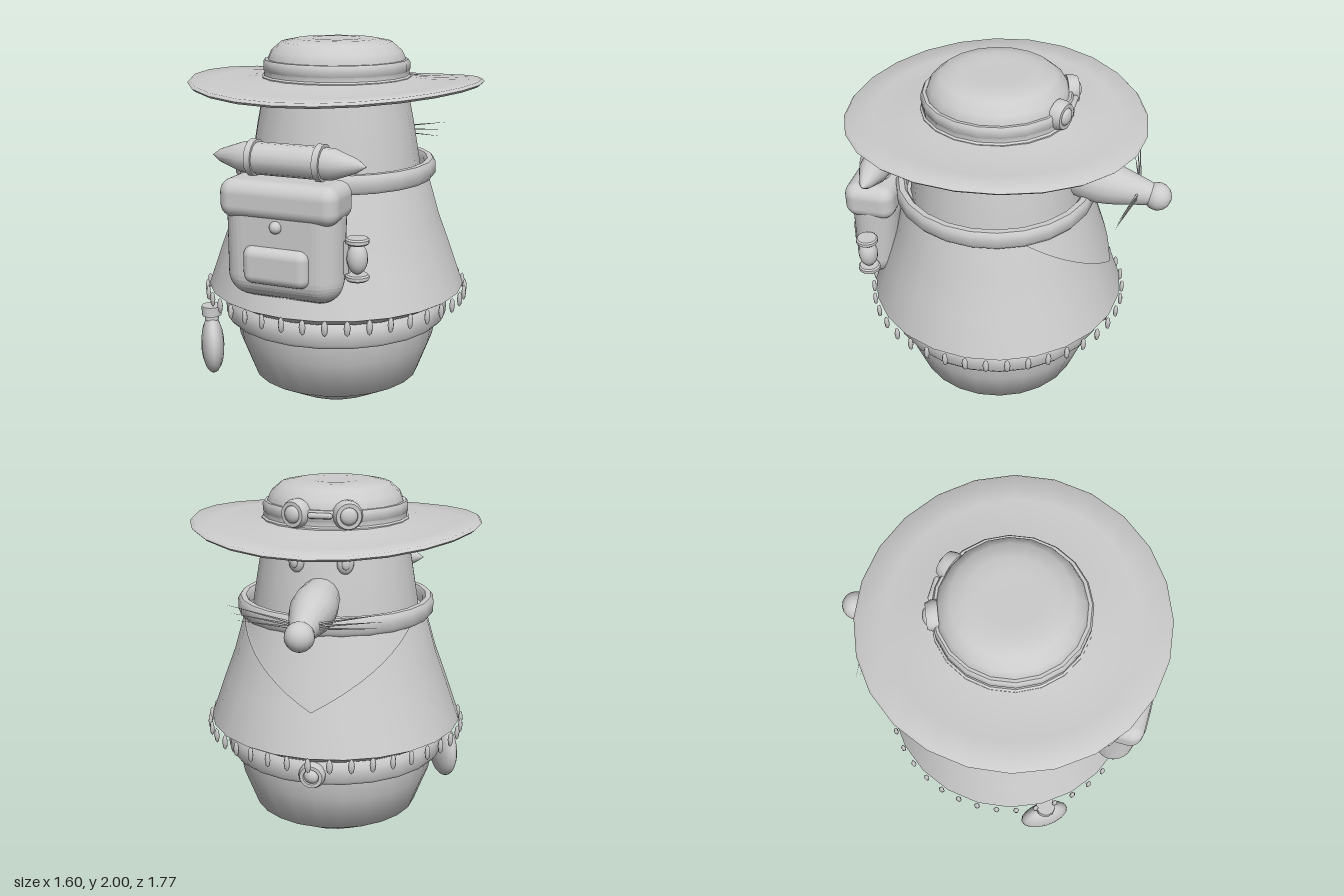
import * as THREE from 'three';
import { toCreasedNormals } from 'three/addons/utils/BufferGeometryUtils.js';
import { RoundedBoxGeometry } from 'three/addons/geometries/RoundedBoxGeometry.js';

const CZ = 0.068; // z of the body's vertical axis

export function createModel() {
  const model = new THREE.Group();
  const clay = new THREE.MeshStandardMaterial({ color: 0xcccccc, side: THREE.DoubleSide });
  clay.name = 'clay grey';

  const add = (name, geometry, x = 0, y = 0, z = 0, parent = model) => {
    const mesh = new THREE.Mesh(geometry, clay);
    mesh.name = name;
    mesh.position.set(x, y, z);
    parent.add(mesh);
    return mesh;
  };
  const lathe = (points, sides = 20, crease = 0.7) => toCreasedNormals(
    new THREE.LatheGeometry(points.map(([r, y]) => new THREE.Vector2(r, y)), sides), crease);
  const ball = (rx, ry, rz, w = 16, h = 12) => new THREE.SphereGeometry(1, w, h).scale(rx, ry, rz);
  const group = (name, x, y, z, turn = 0) => {
    const g = new THREE.Group();
    g.name = name;
    g.position.set(x, y, z);
    g.rotation.y = turn;
    model.add(g);
    return g;
  };

  // Round lower body and belt
  add('body', lathe([[0, 0.005], [0.1, 0.01], [0.28, 0.025], [0.47, 0.13], [0.55, 0.34],
    [0.57, 0.46], [0.57, 0.62]], 24, 1), 0, 0, CZ);
  add('belt', lathe([[0.55, 0.46], [0.61, 0.46], [0.625, 0.48], [0.625, 0.56], [0.605, 0.59],
    [0.55, 0.595]], 24), 0, 0, CZ);
  const disc = (r, d) => lathe([[0, 0], [r, 0], [r, d * 0.5], [r * 0.85, d], [r * 0.6, d],
    [r * 0.55, d * 0.8], [r * 0.4, d * 1.15], [0, d * 1.3]], 16, 0.8).rotateX(-Math.PI / 2);
  add('beltBuckle', disc(0.072, 0.045), 0, 0.52, -0.545);

  // Poncho with turned-under hem and fringe beads
  add('poncho', lathe([[0.57, 0.59], [0.62, 0.595], [0.715, 0.65], [0.635, 0.88], [0.572, 1.05],
    [0.512, 1.26], [0.5, 1.29], [0.4, 1.28]], 24, 0.8), 0, 0, CZ);
  const bead = ball(0.018, 0.043, 0.014, 6, 4);
  const beads = 40;
  for (let i = 0; i < beads; i++) {
    const a = (i / beads) * Math.PI * 2;
    add('fringeBead', bead, Math.sin(a) * 0.727, 0.617, CZ + Math.cos(a) * 0.727).rotation.y = a;
  }

  // Triangular neckerchief wrapped around the poncho
  const rows = 10, cols = 14, verts = [], faces = [];
  for (let j = 0; j <= rows; j++) {
    const t = j / rows, r = 0.525 + 0.125 * t;
    for (let i = 0; i <= cols; i++) {
      const a = (2 * i / cols - 1) * 1.07 * (1 - t);
      verts.push(Math.sin(a) * r, 1.27 - 0.39 * t, CZ - Math.cos(a) * r);
      if (i < cols && j < rows) {
        const p = j * (cols + 1) + i, q = p + cols + 1;
        faces.push(p, p + 1, q, q, p + 1, q + 1);
      }
    }
  }
  const cloth = new THREE.BufferGeometry();
  cloth.setAttribute('position', new THREE.Float32BufferAttribute(verts, 3));
  cloth.setIndex(faces);
  cloth.computeVertexNormals();
  add('neckerchief', cloth);

  // Collar ring and head
  add('collar', lathe([[0.49, 1.265], [0.535, 1.26], [0.55, 1.28], [0.55, 1.34], [0.535, 1.36],
    [0.505, 1.36], [0.49, 1.34], [0.49, 1.265]], 24, 0.9), 0, 0, CZ + 0.007);
  add('head', lathe([[0.48, 1.2], [0.46, 1.36], [0.43, 1.54], [0.395, 1.72], [0.38, 1.8]], 20),
    0, 0, CZ + 0.008);

  // Snout, nose and whiskers
  const snout = lathe([[0.1, -0.1], [0.108, 0], [0.12, 0.08], [0.122, 0.15], [0.112, 0.22],
    [0.085, 0.33], [0.06, 0.43], [0, 0.45]], 16, 1).rotateX(-Math.PI / 2 - 0.15);
  add('snout', snout, 0, 1.435, -0.36);
  add('nose', ball(0.076, 0.076, 0.076), 0, 1.362, -0.81);
  const up = new THREE.Vector3(0, 1, 0);
  const whisker = (from, to) => {
    const d = to.clone().sub(from);
    const m = add('whisker', new THREE.ConeGeometry(0.007, d.length(), 5),
      ...from.clone().add(to).multiplyScalar(0.5).toArray());
    m.quaternion.setFromUnitVectors(up, d.normalize());
  };
  for (const s of [-1, 1]) {
    [1.46, 1.415, 1.375].forEach((y, i) => whisker(
      new THREE.Vector3(s * 0.05, 1.4 - i * 0.012, -0.71),
      new THREE.Vector3(s * (0.42 - i * 0.02), y, -0.655 + i * 0.01)));
    // Eyes
    const eye = group(s > 0 ? 'leftEye' : 'rightEye', s * 0.13, 1.62, -0.322, -s * 0.33);
    add('eyeball', ball(0.045, 0.058, 0.028), 0, 0, 0, eye);
    add('pupil', ball(0.022, 0.03, 0.012), 0, 0, -0.024, eye);
    // Goggle lenses on the hat
    const lens = group(s > 0 ? 'leftGoggle' : 'rightGoggle', s * 0.128, 1.865, -0.275, -s * 0.38);
    add('goggleRim', disc(0.078, 0.06), 0, 0, 0, lens);
    add('goggleGlass', ball(0.045, 0.045, 0.025), 0, 0, -0.055, lens);
  }
  add('goggleBridge', new THREE.CapsuleGeometry(0.016, 0.1, 4, 8).rotateZ(Math.PI / 2), 0, 1.865, -0.338);

  // Hat: saddle-bent brim, banded crown
  const brim = new THREE.LatheGeometry([[0.36, 1.76], [0.5, 1.757], [0.65, 1.763], [0.785, 1.772],
    [0.798, 1.785], [0.785, 1.798], [0.65, 1.788], [0.5, 1.788], [0.42, 1.795], [0.36, 1.8]]
    .map(([r, y]) => new THREE.Vector2(r, y)), 24);
  const pos = brim.attributes.position;
  for (let i = 0; i < pos.count; i++) {
    const x = pos.getX(i), z = pos.getZ(i), r = Math.hypot(x, z);
    const t = Math.max(0, (r - 0.38) / 0.42), c = z / r;
    pos.setY(i, pos.getY(i) - t * c * c * (c > 0 ? 0.042 : 0.064));
  }
  add('hatBrim', toCreasedNormals(brim, 0.9), 0, 0, CZ);
  add('hatCrown', lathe([[0.38, 1.76], [0.375, 1.88], [0.37, 1.9], [0.355, 1.935], [0.3, 1.982],
    [0.22, 1.998], [0.14, 2], [0, 1.99]], 20, 1), 0, 0, CZ - 0.008);
  add('hatBand', lathe([[0.37, 1.785], [0.405, 1.785], [0.405, 1.8], [0.395, 1.808], [0.393, 1.83],
    [0.398, 1.838], [0.398, 1.875], [0.388, 1.89], [0.365, 1.89]], 20), 0, 0, CZ - 0.006);

  // Backpack, narrowing towards the bottom
  const pack = new RoundedBoxGeometry(0.625, 0.56, 0.26, 5, 0.12);
  const pp = pack.attributes.position;
  for (let i = 0; i < pp.count; i++) {
    const low = Math.max(0, -pp.getY(i) / 0.28);
    if (pp.getZ(i) < 0) pp.setZ(i, pp.getZ(i) + 0.05 * low);
  }
  pack.computeVertexNormals();
  add('backpack', pack, 0, 1.025, 0.71);
  add('backpackFlap', new RoundedBoxGeometry(0.64, 0.2, 0.28, 5, 0.07), 0, 1.26, 0.718);
  add('backpackPocket', new RoundedBoxGeometry(0.355, 0.195, 0.11, 5, 0.05), 0, 0.938, 0.828);
  add('backpackButton', ball(0.032, 0.032, 0.032), 0, 1.14, 0.84);

  // Bedroll with pointed ends and two straps
  add('bedroll', lathe([[0, -0.42], [0.035, -0.37], [0.078, -0.25], [0.083, -0.15], [0.083, 0.15],
    [0.078, 0.25], [0.035, 0.37], [0, 0.42]], 14).rotateZ(Math.PI / 2), 0, 1.447, 0.69);
  for (const s of [-1, 1]) {
    add('bedrollStrap', lathe([[0.07, -0.017], [0.094, -0.017], [0.094, 0.017], [0.07, 0.017]], 16)
      .rotateZ(Math.PI / 2), s * 0.183, 1.45, 0.69);
  }

  // Small flask held between two round caps on the pack's side
  add('flask', ball(0.053, 0.08, 0.053), 0.38, 0.99, 0.708);
  const cap = lathe([[0, -0.016], [0.052, -0.016], [0.06, -0.008], [0.06, 0.008], [0.052, 0.016],
    [0, 0.016]], 16);
  for (const y of [1.08, 0.895]) add('flaskCap', cap, 0.38, y, 0.708);
  add('flaskHolder', new THREE.BoxGeometry(0.06, 0.17, 0.03), 0.31, 0.988, 0.708);

  // Flat water gourd hanging from the belt
  const gourd = group('gourd', -0.6, 0.295, 0.45, -1.0);
  add('gourdBody', ball(0.145, 0.165, 0.065), 0, 0, 0, gourd);
  add('gourdNeck', new THREE.CylinderGeometry(0.035, 0.04, 0.06, 12), 0, 0.18, 0, gourd);
  add('gourdStopper', new THREE.CylinderGeometry(0.055, 0.055, 0.055, 12), 0, 0.205, 0, gourd);

  return model;
}
